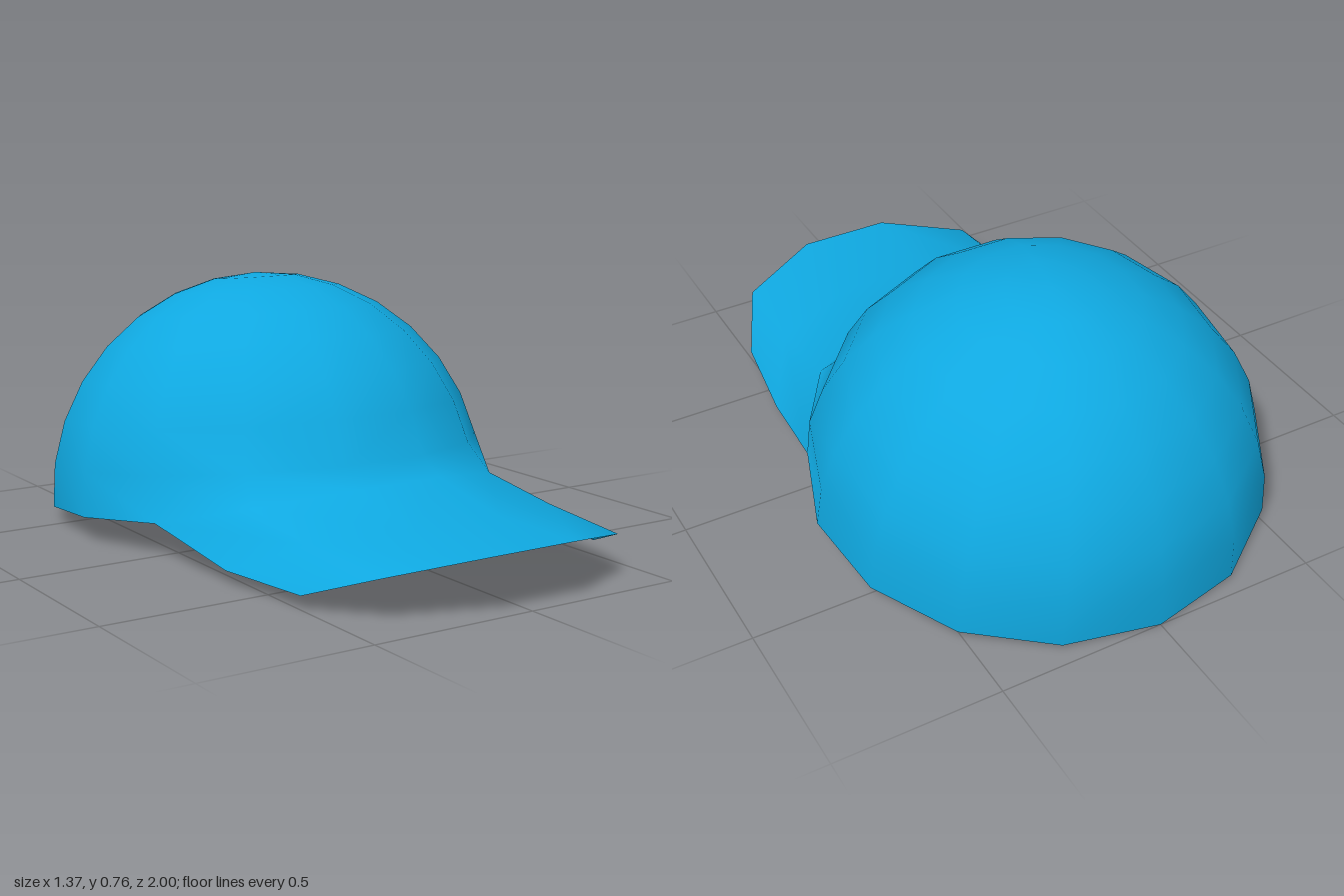
import * as THREE from 'three';

const SIDES = 15, RINGS = 8, RADIUS = 0.688, TILT = Math.asin(0.1045);
const CENTER = new THREE.Vector3(0, 0.071, -0.316);

// Brim, per column from side to middle: root, middle and outer edge (x, y, z)
const BRIM = [
  [[0.59, 0.105, 0.027], [0.55, 0.04, 0.36], [0.505, 0.04, 0.67]],
  [[0.42, 0.18, 0.29], [0.42, 0.14, 0.57], [0.405, 0.12, 0.88]],
  [[0.145, 0.22, 0.4], [0.145, 0.165, 0.68], [0.145, 0.165, 1]],
];
const FIRST = 5, LAST = 10; // dome columns that run on into the brim

// Point on the brim for a dome column, mirrored across x = 0
function brimPoint(col, row) {
  const mirrored = col > 7;
  const [x, y, z] = BRIM[(mirrored ? SIDES - col : col) - FIRST][row];
  return new THREE.Vector3(mirrored ? -x : x, y, z);
}

// Point on the tilted half-sphere; column 0 is at the back
function domePoint(col, ring) {
  const around = (col / SIDES) * Math.PI * 2;
  const down = (ring / RINGS) * Math.PI / 2;
  return new THREE.Vector3(
    Math.sin(around) * Math.sin(down), Math.cos(down), -Math.cos(around) * Math.sin(down)
  ).multiplyScalar(RADIUS).applyAxisAngle(new THREE.Vector3(1, 0, 0), -TILT).add(CENTER);
}

function capGeometry() {
  const positions = [], index = [];
  const add = (p) => positions.push(p.x, p.y, p.z) / 3 - 1;
  // outward-facing quad, its diagonal mirrored on the right half
  const quad = (a, b, c, d, flip) => flip
    ? index.push(a, b, d, b, c, d)
    : index.push(a, b, c, a, c, d);

  // Dome rings, the lowest one bent forward at the brim
  const apex = add(domePoint(0, 0));
  const rows = [];
  for (let r = 1; r <= RINGS; r++) {
    const row = [];
    for (let c = 0; c < SIDES; c++) {
      const onBrim = r === RINGS && c >= FIRST && c <= LAST;
      row.push(add(onBrim ? brimPoint(c, 0) : domePoint(c, r)));
    }
    rows.push(row);
  }
  for (let c = 0; c < SIDES; c++) {
    const n = (c + 1) % SIDES;
    index.push(apex, rows[0][n], rows[0][c]);
    for (let r = 0; r < RINGS - 1; r++)
      quad(rows[r][c], rows[r][n], rows[r + 1][n], rows[r + 1][c], c > 7);
  }

  // Brim rows continuing from the lowest ring
  let upper = rows[RINGS - 1];
  for (let r = 1; r <= 2; r++) {
    const lower = [];
    for (let c = FIRST; c <= LAST; c++) lower[c] = add(brimPoint(c, r));
    for (let c = FIRST; c < LAST; c++)
      quad(upper[c], upper[c + 1], lower[c + 1], lower[c], c > 7);
    upper = lower;
  }

  const geometry = new THREE.BufferGeometry();
  geometry.setAttribute('position', new THREE.Float32BufferAttribute(positions, 3));
  geometry.setIndex(index);
  geometry.computeVertexNormals();
  return geometry;
}

export function createModel() {
  const group = new THREE.Group();
  group.name = 'cap';
  // Crown and brim are one thin, open shell
  const shell = new THREE.Mesh(
    capGeometry(),
    new THREE.MeshStandardMaterial({ color: 0x0fa8e0, side: THREE.DoubleSide })
  );
  shell.name = 'crownAndBrim';
  group.add(shell);
  return group;
}
